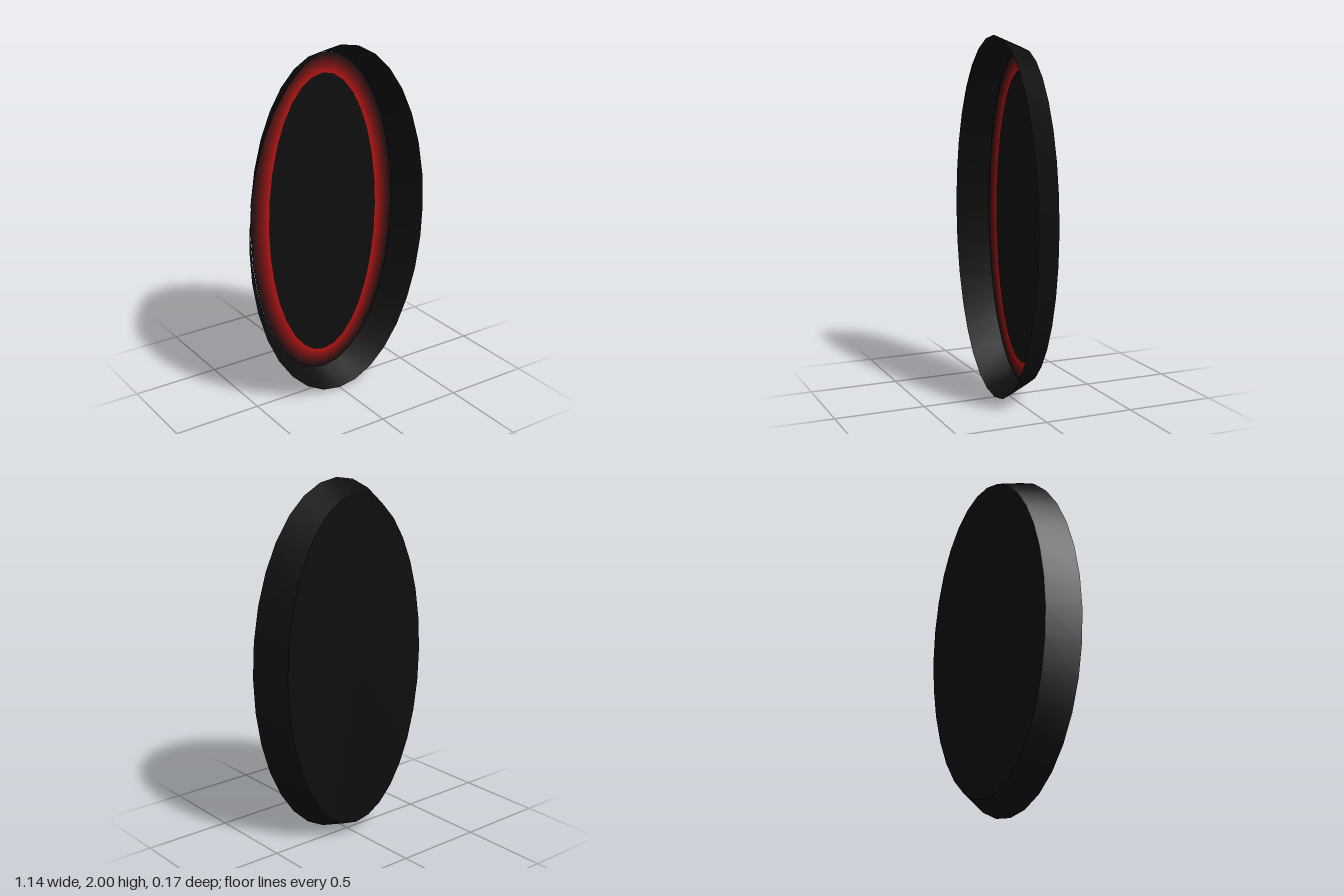
import * as THREE from 'three';

const SIDES = 32;
const FRONT = 0.083, BACK = -0.083, FLOOR = -0.08;
const RIM = { rx: 0.57, ry: 1.0, z: FRONT };       // wide open front edge
const BASE = { rx: 0.467, ry: 0.933, z: BACK };    // narrower back edge
const PANEL = { rx: 0.352, ry: 0.82, z: FLOOR };   // flat centre

// Smooth band joining two ellipses; from outer to inner it faces +z
function band(a, b) {
  const pos = [], idx = [];
  for (const e of [a, b]) {
    for (let i = 0; i < SIDES; i++) {
      const t = (i / SIDES) * Math.PI * 2;
      pos.push(e.rx * Math.cos(t), e.ry * Math.sin(t), e.z);
    }
  }
  for (let i = 0; i < SIDES; i++) {
    const j = (i + 1) % SIDES;
    idx.push(i, j, SIDES + i, j, SIDES + j, SIDES + i);
  }
  const g = new THREE.BufferGeometry();
  g.setAttribute('position', new THREE.Float32BufferAttribute(pos, 3));
  g.setIndex(idx);
  g.computeVertexNormals();
  return g;
}

const disc = (e) => new THREE.CircleGeometry(1, SIDES).scale(e.rx, e.ry, 1);

export function createModel() {
  const model = new THREE.Group();
  model.name = 'ovalGlowDish';
  const body = new THREE.Group();
  body.position.y = 1;
  model.add(body);

  const add = (name, geometry, material, parent = body) => {
    const mesh = new THREE.Mesh(geometry, material);
    mesh.name = name;
    parent.add(mesh);
    return mesh;
  };
  const black = new THREE.MeshStandardMaterial({ color: 0x0d0d0d });
  const wallBlack = new THREE.MeshStandardMaterial({ color: 0x0d0d0d, side: THREE.DoubleSide });

  // Thin flared wall, open at the front
  add('flaredWall', band(RIM, BASE), wallBlack);

  // Back plate and centre panel
  add('backPlate', disc(BASE).rotateY(Math.PI), black).position.z = BACK;
  add('centrePanel', disc(PANEL), black).position.z = FLOOR;

  // Glow ring: narrow bands fading from black at the wall to red at the panel
  const glow = new THREE.Group();
  glow.name = 'glowRing';
  body.add(glow);
  const STEPS = 16;
  const at = (k) => ({
    rx: THREE.MathUtils.lerp(BASE.rx, PANEL.rx, k),
    ry: THREE.MathUtils.lerp(BASE.ry, PANEL.ry, k),
    z: FLOOR,
  });
  for (let i = 0; i < STEPS; i++) {
    const k = (i + 0.5) / STEPS;
    const color = new THREE.Color().setRGB(0.05 + 0.68 * k, 0.05 + 0.015 * k, 0.05 + 0.015 * k, THREE.SRGBColorSpace);
    add('glowBand' + (i + 1), band(at(i / STEPS), at((i + 1) / STEPS)),
      new THREE.MeshStandardMaterial({ color }), glow);
  }
  return model;
}
